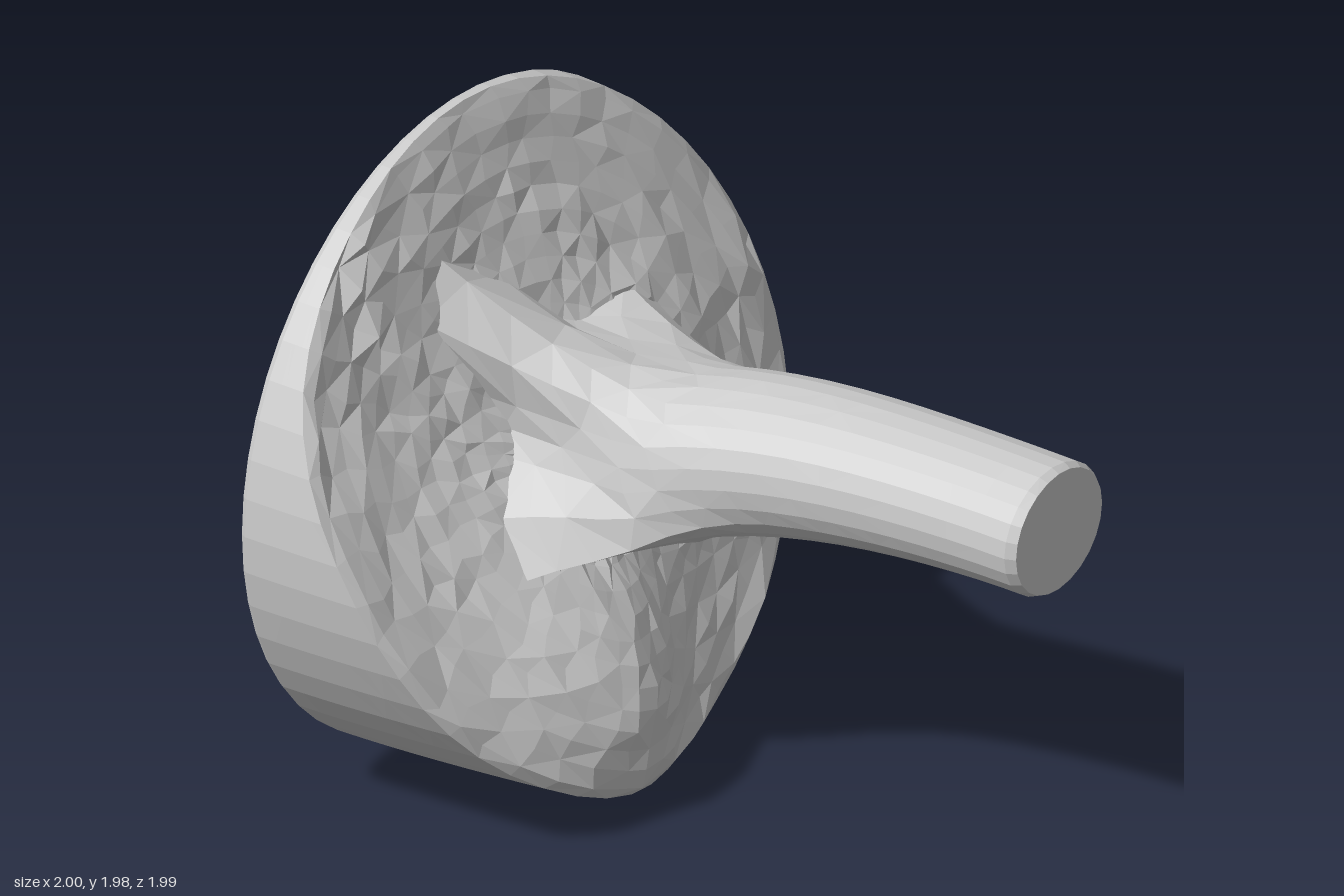
import * as THREE from 'three';

// Skin a stack of closed rings; point(ring, angle) returns [x, y, z]
function loft(rings, sides, point) {
  const pos = [], idx = [];
  for (let i = 0; i < rings; i++) {
    for (let j = 0; j < sides; j++) pos.push(...point(i, (j / sides) * Math.PI * 2));
  }
  for (let i = 0; i < rings - 1; i++) {
    for (let j = 0; j < sides; j++) {
      const k = (j + 1) % sides;
      const a = i * sides + j, b = i * sides + k, c = b + sides, d = a + sides;
      // alternate the diagonals for an even facet pattern
      if ((i + j) % 2) idx.push(a, b, c, a, c, d);
      else idx.push(a, b, d, b, c, d);
    }
  }
  const g = new THREE.BufferGeometry();
  g.setAttribute('position', new THREE.Float32BufferAttribute(pos, 3));
  g.setIndex(idx);
  g.computeVertexNormals();
  return g;
}

// Repeatable noise in -1..1
function noise(a, b) {
  const n = Math.sin(a * 127.1 + b * 311.7) * 43758.5453;
  return (n - Math.floor(n)) * 2 - 1;
}

const bump = (x, y, cx, cy, wx, wy) => Math.exp(-(((x - cx) / wx) ** 2) - ((y - cy) / wy) ** 2);

// Sloping front face of the base: swollen low down and beside the stem, hollow at the upper right
function faceZ(x, y) {
  const t = 2 - y;
  const z = -0.95 + 0.42 * t - 0.04 * t * t
    + 0.235 * bump(x, y, -0.23, 0.4, 0.37, 0.42)
    + 0.06 * bump(x, y, 0.42, 1.1, 0.33, 0.33)
    - 0.12 * bump(x, y, -0.75, 1.32, 0.65, 0.5);
  return Math.max(z, -0.95);
}

// Chipped patches: x, y, width
const chips = [
  [-0.83, 1.3, 0.09], [-0.6, 1.72, 0.08], [0.42, 1.35, 0.08],
  [0.86, 1.18, 0.07], [0.18, 1.7, 0.05], [-0.4, 0.58, 0.06], [-0.6, 1.5, 0.05],
];

const CY = 0.992;
const WALL = 9, FACE = 16;

function basePoint(i, a) {
  const c = Math.cos(a), s = Math.sin(a);
  const at = (r, z) => [c * r, CY + s * r * 0.988, z];
  // flat back with a small rounded edge
  if (i === 0) return at(0, -1);
  if (i === 1) return at(0.965, -1);
  if (i === 2) return at(0.99, -0.993);
  // tapering side wall
  const edge = faceZ(c * 0.96, CY + s * 0.95) - 0.02;
  const wallR = (z) => 1 - 0.07 * Math.pow(z + 1, 1.5);
  if (i < 3 + WALL) {
    const z = THREE.MathUtils.lerp(-0.975, edge, (i - 3) / (WALL - 1));
    return at(wallR(z), z);
  }
  // uneven front face
  const k = (i - 2 - WALL) / FACE;
  if (k >= 1) return [0, CY, faceZ(0, CY)];
  const r = wallR(edge) * (1 - k) * 1.03;
  const turn = a + 0.025 * noise(a + 3, i);
  const x = Math.cos(turn) * r, y = CY + Math.sin(turn) * r * 0.988;
  let amp = 0.01;
  for (const [px, py, w] of chips) amp += 0.028 * bump(x, y, px, py, w, w);
  return [x, y, faceZ(x, y) + amp * noise(a, i + 0.5)];
}

// Roots at the foot of the stem: angle in degrees, extra reach, spread
const roots = [[123, 0.48, 0.34], [207, 0.3, 0.32], [295, 0.22, 0.36], [36, 0.17, 0.4]];

// Stem outline at depth z, with the roots grown by the amount flare
function stemXY(z, a, flare) {
  const q = Math.min((0.98 - z) / 1.2, 1);
  const cx = 0.245 - 0.155 * Math.pow(q, 1.6), cy = 1.115 + 0.03 * q - 0.115 * q ** 4;
  let extra = 0;
  for (const [deg, reach, spread] of roots) {
    const d = a - THREE.MathUtils.degToRad(deg);
    const turn = Math.atan2(Math.sin(d), Math.cos(d));
    extra += reach * Math.exp(-((turn / spread) ** 2));
  }
  const rx = 0.225 + 0.06 * q * q + extra * flare;
  const ry = 0.198 + 0.062 * q * q + extra * flare;
  return [cx + Math.cos(a) * rx, cy + Math.sin(a) * ry];
}

const STEM = 16;

function stemPoint(i, a) {
  // rounded end cap
  if (i === STEM + 2) return [0.245, 1.115, 0.985];
  if (i === STEM + 1) {
    const [x, y] = stemXY(0.98, a, 0);
    return [0.245 + (x - 0.245) * 0.94, 1.115 + (y - 1.115) * 0.94, 0.985 - 0.03 * (x - 0.245)];
  }
  // shaft runs from inside the base out to the cap
  const s = 1 - i / STEM;
  const [ex, ey] = stemXY(-0.5, a, 1);
  const z = THREE.MathUtils.lerp(0.96, faceZ(ex, ey) - 0.03, s);
  const flare = Math.pow(Math.max(0, (s - 0.55) / 0.45), 2.2);
  const [x, y] = stemXY(z, a, flare);
  return [x, y, z];
}

export function createModel() {
  const group = new THREE.Group();
  const material = new THREE.MeshStandardMaterial({ color: 0xcccccc, flatShading: true });

  const base = new THREE.Mesh(loft(3 + WALL + FACE, 52, basePoint), material);
  base.name = 'base';

  const stem = new THREE.Mesh(loft(STEM + 3, 24, stemPoint), material);
  stem.name = 'stem';

  group.add(base, stem);
  return group;
}
